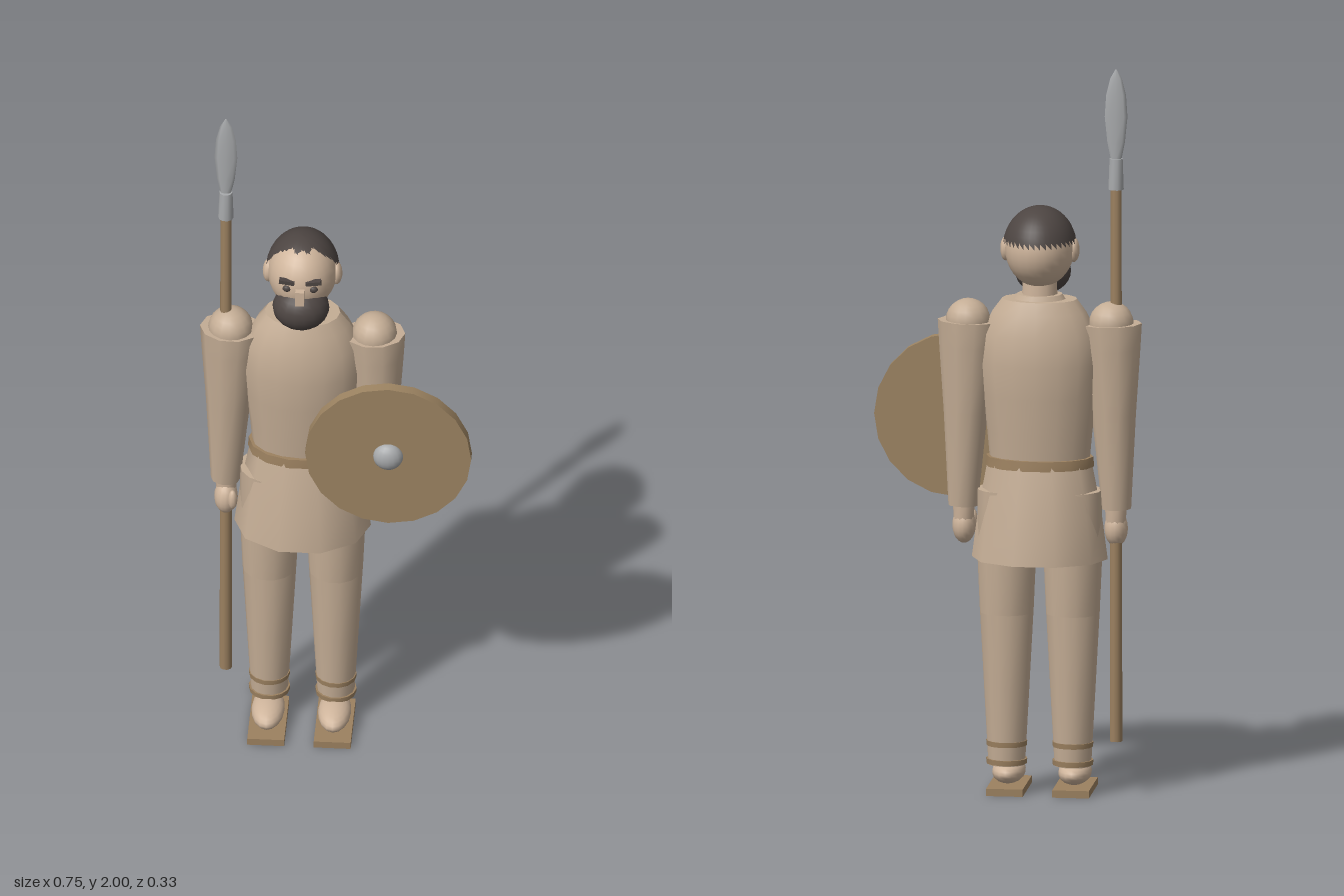
import * as THREE from 'three';

const mat = (name, color, side = THREE.FrontSide) => {
  const m = new THREE.MeshStandardMaterial({ color, side });
  m.name = name;
  return m;
};

export function createModel() {
  const skin = mat('skin', 0xcfb59c);
  const cloth = mat('cloth', 0xc4ad95);
  const leather = mat('leather', 0x9c8160);
  const wood = mat('shield wood', 0x9d8462);
  const hairMat = mat('hair', 0x4d4542, THREE.DoubleSide);
  const metal = mat('metal', 0xa8aaac);

  const model = new THREE.Group();
  model.name = 'guard';
  const body = new THREE.Group();
  body.name = 'body';
  body.position.set(-0.095, 0, -0.03);
  model.add(body);

  const add = (parent, name, geometry, material, x = 0, y = 0, z = 0) => {
    const mesh = new THREE.Mesh(geometry, material);
    mesh.name = name;
    mesh.position.set(x, y, z);
    parent.add(mesh);
    return mesh;
  };
  const ellipsoid = (rx, ry, rz, w = 16, h = 12) =>
    new THREE.SphereGeometry(1, w, h).scale(rx, ry, rz);

  // Stack of elliptical rings [y, rx, rz], listed upward, with flat end caps.
  const loft = (rings, sides) => {
    const pos = [], index = [];
    const ring = ([y, rx, rz]) => {
      for (let i = 0; i <= sides; i++) {
        const a = (i / sides) * Math.PI * 2;
        pos.push(Math.cos(a) * rx, y, Math.sin(a) * rz);
      }
    };
    rings.forEach(ring);
    const n = sides + 1;
    for (let j = 0; j < rings.length - 1; j++)
      for (let i = 0; i < sides; i++) {
        const a = j * n + i, b = a + n;
        index.push(a, b, a + 1, a + 1, b, b + 1);
      }
    [rings[0], rings[rings.length - 1]].forEach((r, k) => {
      const start = pos.length / 3;
      ring(r);
      pos.push(0, r[0], 0);
      for (let i = 0; i < sides; i++) {
        const e = [start + i, start + i + 1];
        if (k) e.reverse();
        index.push(...e, start + n);
      }
    });
    const g = new THREE.BufferGeometry();
    g.setAttribute('position', new THREE.Float32BufferAttribute(pos, 3));
    g.setIndex(index);
    g.computeVertexNormals();
    return g;
  };

  // Tunic, belt and skirt
  add(body, 'tunic', loft([
    [0.9, 0.134, 0.086], [1.0, 0.143, 0.096], [1.1, 0.156, 0.106], [1.19, 0.164, 0.112],
    [1.27, 0.158, 0.106], [1.33, 0.128, 0.088], [1.365, 0.102, 0.074],
  ], 16), cloth);
  add(body, 'belt', loft([[0.905, 0.148, 0.102], [0.932, 0.146, 0.1]], 14), leather);
  add(body, 'skirt', loft([[0.65, 0.185, 0.145], [0.78, 0.168, 0.126], [0.915, 0.142, 0.1]], 10), cloth);
  add(body, 'neck', loft([[1.34, 0.05, 0.046], [1.46, 0.044, 0.042]], 12), skin);
  add(body, 'collar', loft([[1.35, 0.08, 0.064], [1.378, 0.062, 0.054]], 14), cloth);

  // Limbs, mirrored
  for (const s of [-1, 1]) {
    const side = s < 0 ? 'right' : 'left';
    const leg = new THREE.Group();
    leg.name = side + 'Leg';
    leg.position.x = s * 0.09;
    body.add(leg);
    add(leg, 'thigh', loft([[0.5, 0.073, 0.071], [0.66, 0.08, 0.078], [0.84, 0.08, 0.08]], 14), cloth);
    add(leg, 'shin', loft([[0.08, 0.05, 0.048], [0.3, 0.062, 0.06], [0.505, 0.073, 0.071]], 14), cloth);
    for (const y of [0.09, 0.14])
      add(leg, 'ankleStrap', loft([[y - 0.007, 0.055, 0.053], [y + 0.007, 0.056, 0.054]], 14), leather);
    add(leg, 'foot', ellipsoid(0.045, 0.033, 0.087), skin, 0, 0.053, 0.05);
    add(leg, 'sole', new THREE.BoxGeometry(0.1, 0.02, 0.2), leather, 0, 0.01, 0.047);

    const arm = new THREE.Group();
    arm.name = side + 'Arm';
    arm.position.set(s * 0.195, 1.3, 0);
    body.add(arm);
    add(arm, 'shoulder', ellipsoid(0.061, 0.06, 0.061), cloth);
    const sleeve = add(arm, 'sleeve', loft([
      [-0.51, 0.04, 0.036], [-0.25, 0.06, 0.053], [-0.07, 0.077, 0.066], [0, 0.083, 0.069],
    ], 10), cloth);
    sleeve.rotation.z = s * 0.027;
    add(arm, 'wrist', loft([[-0.55, 0.027, 0.027], [-0.5, 0.03, 0.03]], 10), skin, s * 0.012);
    add(arm, 'hand', ellipsoid(0.032, 0.05, 0.039), skin, s * 0.012, -0.565, 0.008);
    add(arm, 'thumb', ellipsoid(0.013, 0.03, 0.014, 10, 8), skin, s * -0.008, -0.555, 0.038);
  }

  // Head
  const head = new THREE.Group();
  head.name = 'head';
  head.position.y = 1.505;
  body.add(head);
  add(head, 'skull', ellipsoid(0.094, 0.108, 0.107, 24, 18), skin);
  add(head, 'beard', ellipsoid(0.077, 0.065, 0.067, 18, 14), hairMat, 0, -0.075, 0.066);
  add(head, 'nose', new THREE.BoxGeometry(0.024, 0.045, 0.03), skin, 0, -0.012, 0.107);
  for (const s of [-1, 1]) {
    add(head, 'ear', ellipsoid(0.016, 0.034, 0.025, 12, 10), skin, s * 0.092, -0.005, 0.003);
    add(head, 'eye', ellipsoid(0.012, 0.01, 0.008, 10, 8), hairMat, s * 0.036, 0.006, 0.097);
    const brow = add(head, 'brow', new THREE.BoxGeometry(0.042, 0.011, 0.016), hairMat, s * 0.036, 0.03, 0.098);
    brow.rotation.z = s * 0.15;
  }

  // Hair cap: deep at the back, short with a ragged line over the forehead
  const cap = new THREE.SphereGeometry(1, 40, 10);
  const p = cap.attributes.position;
  for (let j = 0; j <= 10; j++)
    for (let i = 0; i <= 40; i++) {
      const a = (i / 40) * Math.PI * 2;
      const front = THREE.MathUtils.smoothstep(Math.cos(a), -0.05, 0.75);
      const ragged = front > 0.02 ? 0.1 * (Math.floor(i / 2) % 2) : 0;
      const t = (j / 10) * (1.45 - 0.97 * front + ragged);
      p.setXYZ(j * 41 + i, Math.sin(t) * Math.sin(a) * 0.1,
        Math.cos(t) * 0.114, Math.sin(t) * Math.cos(a) * 0.12);
    }
  cap.computeVertexNormals();
  add(head, 'hair', cap, hairMat);

  // Round shield with a boss
  const shield = new THREE.Group();
  shield.name = 'shield';
  shield.position.set(0.148, 1.01, 0.122);
  model.add(shield);
  add(shield, 'shieldBoard', new THREE.CylinderGeometry(0.225, 0.225, 0.03, 20).rotateX(Math.PI / 2), wood);
  add(shield, 'shieldBoss', ellipsoid(0.041, 0.041, 0.029), metal, 0, 0, 0.014);

  // Spear
  const spear = new THREE.Group();
  spear.name = 'spear';
  spear.position.set(-0.303, 0, -0.032);
  model.add(spear);
  add(spear, 'shaft', loft([[0.15, 0.017, 0.017], [1.69, 0.015, 0.015]], 10), leather);
  add(spear, 'socket', loft([[1.67, 0.021, 0.021], [1.755, 0.018, 0.018]], 10), metal);
  add(spear, 'blade', loft([
    [1.75, 0.014, 0.009], [1.8, 0.024, 0.01], [1.87, 0.031, 0.01],
    [1.93, 0.027, 0.009], [1.975, 0.016, 0.006], [2.0, 0.002, 0.001],
  ], 8), metal);

  return model;
}
